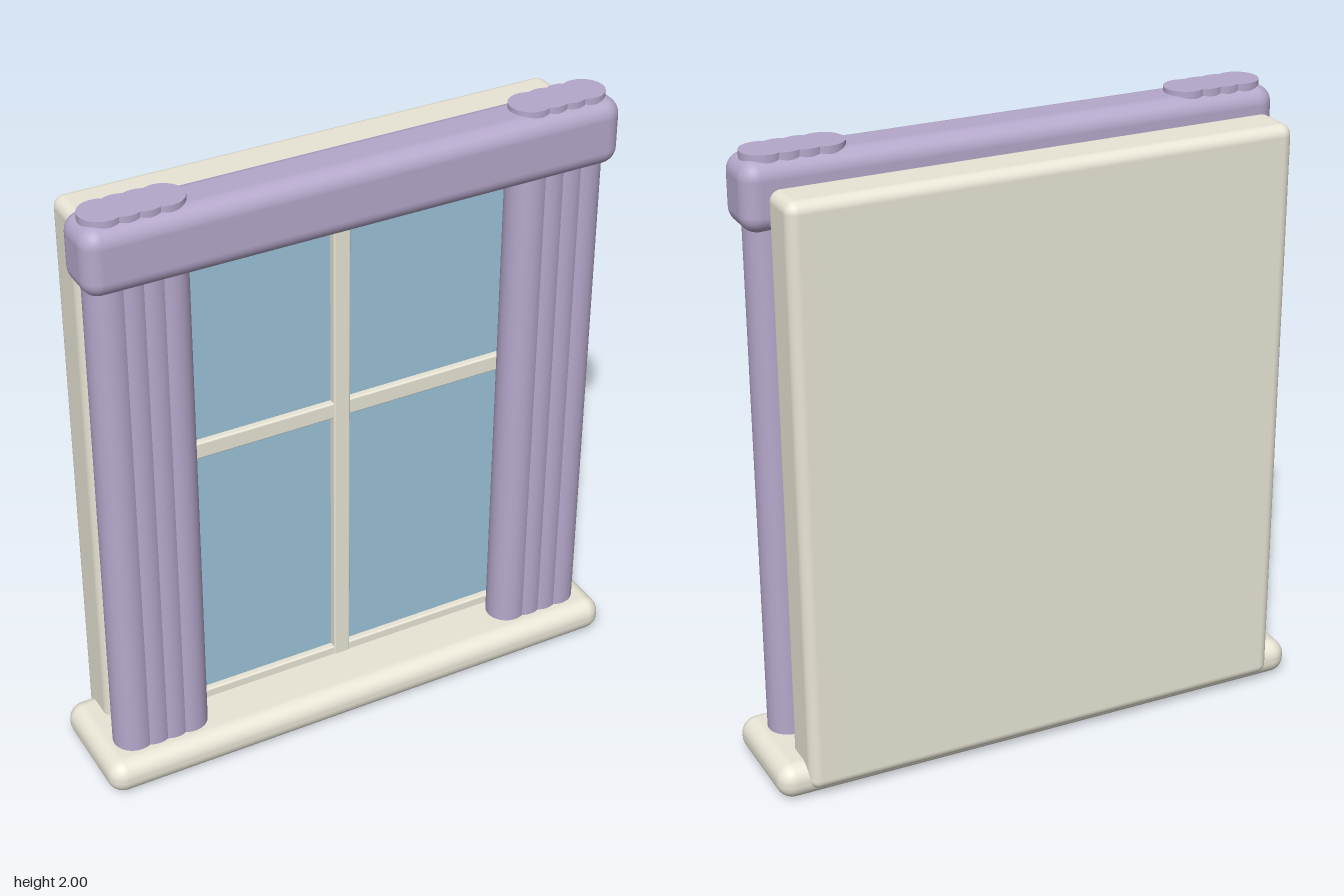
import * as THREE from 'three';
import { RoundedBoxGeometry } from 'three/addons/geometries/RoundedBoxGeometry.js';

const cream = new THREE.MeshStandardMaterial({ color: 0xe9e5d6 });
const lilac = new THREE.MeshStandardMaterial({ color: 0xb5a8cb });
const blue = new THREE.MeshStandardMaterial({ color: 0x9cc4da });

// Rounded block given by its extents on each axis
function block(name, [x0, x1], [y0, y1], [z0, z1], radius, material) {
  const geometry = new RoundedBoxGeometry(x1 - x0, y1 - y0, z1 - z0, 5, radius);
  const mesh = new THREE.Mesh(geometry, material);
  mesh.position.set((x0 + x1) / 2, (y0 + y1) / 2, (z0 + z1) / 2);
  mesh.name = name;
  return mesh;
}

// Curtain: a row of overlapping round folds
function curtain(name, side) {
  const group = new THREE.Group();
  group.name = name;
  const fold = new THREE.CylinderGeometry(0.066, 0.066, 1.9, 32);
  for (let i = 0; i < 4; i++) {
    const mesh = new THREE.Mesh(fold, lilac);
    mesh.name = 'curtainFold';
    mesh.position.set(side * (0.59 + i * 0.0615), 1.05, 0.078);
    group.add(mesh);
  }
  return group;
}

export function createModel() {
  const model = new THREE.Group();
  model.name = 'window';

  // Backing frame, glass and sill
  model.add(block('frame', [-0.81, 0.81], [0.03, 1.925], [-0.205, -0.04], 0.035, cream));
  model.add(block('glass', [-0.71, 0.71], [0.125, 1.83], [-0.036, -0.005], 0.008, blue));
  model.add(block('sill', [-0.9, 0.9], [0, 0.115], [-0.185, 0.205], 0.053, cream));

  // Glazing bars
  model.add(block('verticalBar', [-0.028, 0.028], [0.1, 1.83], [-0.012, 0.02], 0.006, cream));
  for (const [name, y] of [['bottomBar', 0.117], ['middleBar', 1.073]]) {
    model.add(block(name, [-0.7, 0.7], [y - 0.028, y + 0.028], [-0.012, 0.017], 0.006, cream));
  }

  // Curtains and the pelmet across their tops
  model.add(curtain('leftCurtain', 1), curtain('rightCurtain', -1));
  model.add(block('pelmet', [-0.865, 0.865], [1.77, 1.985], [-0.012, 0.173], 0.055, lilac));

  return model;
}
